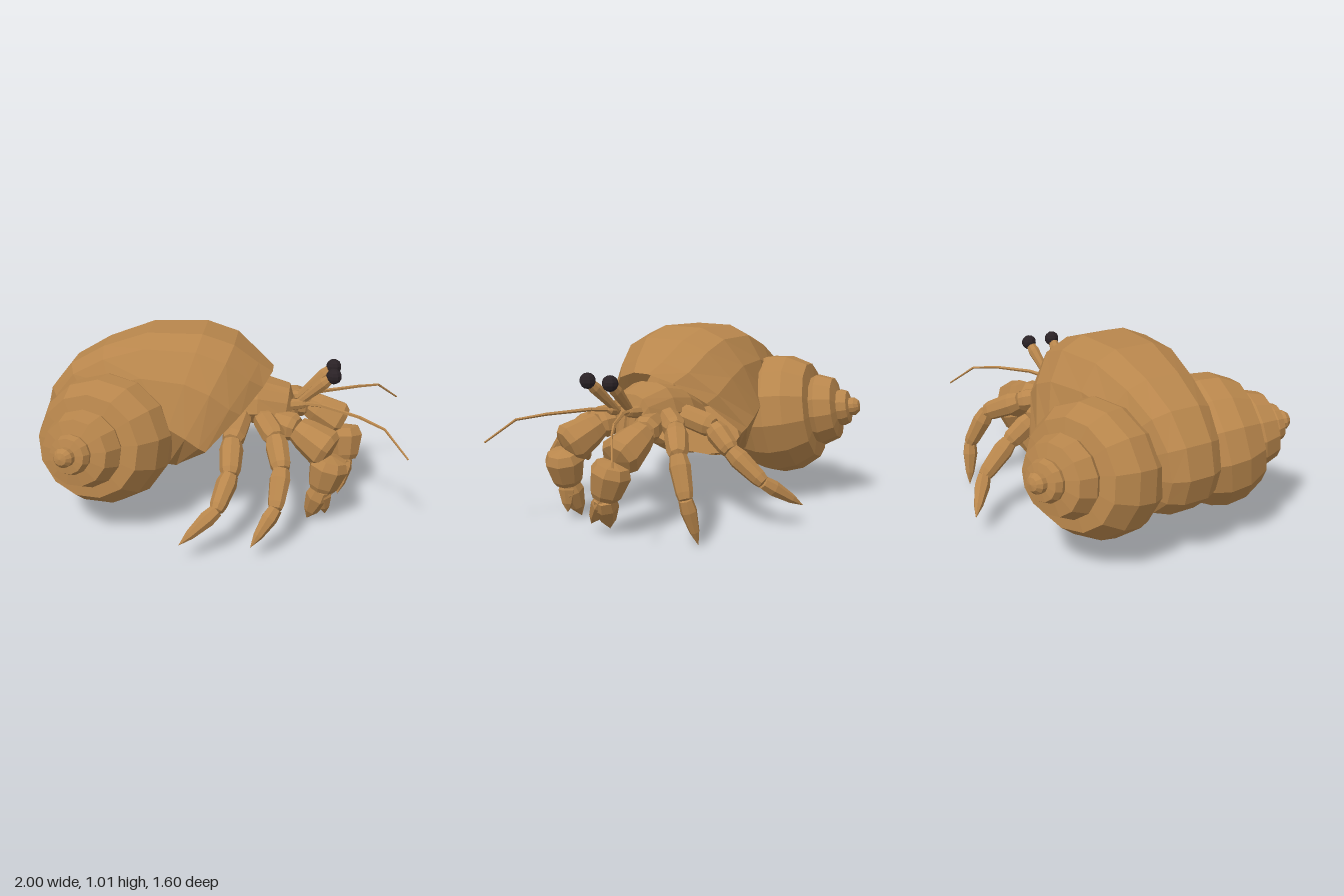
import * as THREE from 'three';

const tan = new THREE.MeshStandardMaterial({ color: 0xb8864c, flatShading: true, side: THREE.DoubleSide });
tan.name = 'warm tan';
const dark = new THREE.MeshStandardMaterial({ color: 0x2a2226, flatShading: true });
dark.name = 'eye black';

const V = (p) => new THREE.Vector3(...p);

function mesh(name, geometry, material = tan) {
  const m = new THREE.Mesh(geometry, material);
  m.name = name;
  return m;
}

// Half outline of a cross-section: [share of the way from outer to inner point, share of half width]
const ARCH = [[0, 0.3], [0.08, 0.62], [0.28, 0.85], [0.6, 1], [0.9, 0.72], [1, 0.3]];

// Closed cross-sections, each [outerX, outerY, innerX, innerY, halfWidth, sharpness]
function loft(sections, side) {
  const n = ARCH.length * 2;
  const pos = [];
  const index = [];
  for (const [ox, oy, ix, iy, w, sharp = 1] of sections) {
    for (let j = 0; j < n; j++) {
      const back = j >= ARCH.length;
      const [t, f] = ARCH[back ? n - 1 - j : j];
      pos.push(ox + (ix - ox) * t, oy + (iy - oy) * t, (back ? -side : side) * w * f ** sharp);
    }
  }
  for (let i = 0; i < sections.length - 1; i++) {
    for (let j = 0; j < n; j++) {
      const a = i * n + j, b = i * n + (j + 1) % n;
      index.push(a, b, b + n, a, b + n, a + n);
    }
  }
  const g = new THREE.BufferGeometry();
  g.setAttribute('position', new THREE.Float32BufferAttribute(pos, 3));
  g.setIndex(index);
  const flat = g.toNonIndexed();
  flat.computeVertexNormals();
  return flat;
}

// Lathe placed at a point with its axis along a direction
function turned(name, profile, origin, axis, sides) {
  const g = new THREE.LatheGeometry(profile.map(([r, h]) => new THREE.Vector2(r, h)), sides);
  const m = mesh(name, g);
  m.position.copy(origin);
  m.quaternion.setFromUnitVectors(new THREE.Vector3(0, 1, 0), axis.clone().normalize());
  return m;
}

// One armoured limb joint from a to b
function joint(name, a, b, r0, r1) {
  const start = V(a), axis = V(b).sub(start), L = axis.length();
  return turned(name, [[0, -0.015], [r0 * 0.8, 0], [r0, L * 0.25], [r1, L * 0.85], [r1 * 0.8, L], [0, L + 0.015]],
    start, axis, 8);
}

// Pointed end from a to b
function spike(name, a, b, r) {
  const start = V(a), axis = V(b).sub(start), L = axis.length();
  return turned(name, [[0, -0.01], [r * 0.85, 0], [r, L * 0.25], [r * 0.6, L * 0.7], [0, L]], start, axis, 7);
}

function leg(name, points) {
  const g = new THREE.Group();
  g.name = name;
  const radii = [0.062, 0.064, 0.056, 0.045];
  for (let i = 0; i < 3; i++) g.add(joint('legJoint', points[i], points[i + 1], radii[i], radii[i + 1]));
  g.add(spike('legTip', points[3], points[4], 0.043));
  return g;
}

function claw(name, [hip, elbow, wrist, palmTop, palmEnd, tipA, tipB]) {
  const g = new THREE.Group();
  g.name = name;
  g.add(joint('upperArm', hip, elbow, 0.06, 0.08));
  g.add(joint('forearm', elbow, wrist, 0.09, 0.115));
  g.add(joint('palm', palmTop, palmEnd, 0.11, 0.085));
  // Fingers start inside the palm, spread toward their tips
  g.add(spike('fixedFinger', palmEnd, tipA, 0.068));
  g.add(spike('movingFinger', palmEnd, tipB, 0.055));
  return g;
}

export function createModel() {
  const model = new THREE.Group();
  model.name = 'hermitCrab';

  // Central shell band, from the open lip over the top, down the back and underneath
  const shell = new THREE.Group();
  shell.name = 'shell';
  shell.add(mesh('shellBand', loft([
    [0.275, 0.79, -0.27, 0.25, 0.44, 1.8],
    [0.2, 0.85, -0.28, 0.25, 0.45, 1.35],
    [0.07, 0.96, -0.31, 0.26, 0.45, 1.05],
    [-0.1, 1.015, -0.35, 0.3, 0.43],
    [-0.4, 1.01, -0.42, 0.34, 0.38],
    [-0.65, 0.92, -0.45, 0.38, 0.32],
    [-0.84, 0.81, -0.47, 0.4, 0.28],
    [-0.96, 0.66, -0.47, 0.42, 0.25],
    [-1, 0.5, -0.47, 0.44, 0.24],
    [-0.96, 0.36, -0.47, 0.46, 0.24],
    [-0.85, 0.26, -0.46, 0.48, 0.25],
    [-0.68, 0.22, -0.45, 0.5, 0.26],
    [-0.48, 0.215, -0.42, 0.5, 0.28],
    [-0.27, 0.25, -0.36, 0.5, 0.28],
    [-0.32, 0.4, -0.32, 0.4, 0],
  ], -1)));

  // Mirrored side spires, slightly lower than wide
  const whorls = [[0, -0.16], [0.31, -0.15], [0.36, -0.06], [0.38, 0.02], [0.365, 0.13], [0.3, 0.24], [0.21, 0.25],
    [0.225, 0.28], [0.19, 0.37], [0.11, 0.385], [0.115, 0.405], [0.1, 0.44], [0.055, 0.447], [0.055, 0.475],
    [0.035, 0.498], [0, 0.505]];
  for (const s of [1, -1]) {
    const spire = turned(s > 0 ? 'leftSpire' : 'rightSpire', whorls,
      new THREE.Vector3(-0.585, 0.48, 0.32 * s), new THREE.Vector3(-0.3, 0.16, 0.95 * s), 13);
    spire.scale.z = 0.92;
    shell.add(spire);
  }
  model.add(shell);

  // Body with head
  model.add(mesh('body', loft([
    [-0.2, 0.54, -0.2, 0.54, 0],
    [-0.15, 0.6, -0.15, 0.48, 0.13],
    [0.04, 0.7, 0.04, 0.5, 0.19],
    [0.2, 0.735, 0.2, 0.49, 0.19],
    [0.37, 0.69, 0.34, 0.48, 0.145],
    [0.39, 0.62, 0.36, 0.5, 0.12],
    [0.38, 0.56, 0.38, 0.56, 0],
  ], 1)));

  for (const s of [1, -1]) {
    const at = (x, y, z) => [x, y, z * s];
    model.add(joint('mouthPart', at(0.36, 0.62, 0.035), at(0.4, 0.43, 0.035), 0.04, 0.034));
    model.add(joint('feelerBase', at(0.33, 0.6, 0.07), at(0.46, 0.61, 0.06), 0.035, 0.028));

    // Eye stalk and eye
    model.add(joint('eyeStalk', at(0.41, 0.6, 0.05), at(0.585, 0.765, 0.077), 0.024, 0.034));
    const eye = mesh('eye', new THREE.SphereGeometry(0.043, 9, 7), dark);
    eye.position.set(0.608, 0.783, 0.078 * s);
    model.add(eye);

    // Antenna in tapering lengths
    const path = [[0.42, 0.61, 0.05], [0.55, 0.622, 0.11], [0.75, 0.612, 0.23], [0.88, 0.59, 0.33], [1, 0.475, 0.44]];
    for (let i = 0; i < 4; i++) {
      const a = V(at(...path[i])), axis = V(at(...path[i + 1])).sub(a);
      model.add(turned('antenna', [[0.013 - i * 0.002, 0], [0.011 - i * 0.002, axis.length()]], a, axis, 5));
    }
  }

  // Walking legs, each side in its own pose
  model.add(leg('leftRearLeg',
    [[0.12, 0.57, 0.13], [0.08, 0.5, 0.36], [0.085, 0.38, 0.52], [0.03, 0.25, 0.67], [-0.15, 0.11, 0.8]]));
  model.add(leg('leftFrontLeg',
    [[0.22, 0.56, 0.13], [0.31, 0.51, 0.32], [0.35, 0.4, 0.47], [0.33, 0.25, 0.62], [0.21, 0.08, 0.735]]));
  model.add(leg('rightRearLeg',
    [[0.12, 0.57, -0.13], [0.09, 0.51, -0.35], [0.11, 0.4, -0.48], [0.07, 0.25, -0.66], [-0.11, 0.11, -0.8]]));
  model.add(leg('rightFrontLeg',
    [[0.22, 0.57, -0.13], [0.34, 0.53, -0.29], [0.5, 0.44, -0.43], [0.555, 0.24, -0.52], [0.5, 0, -0.56]]));

  // Claws
  model.add(claw('leftClaw', [[0.25, 0.54, 0.1], [0.42, 0.51, 0.18], [0.6, 0.41, 0.25], [0.61, 0.38, 0.265],
    [0.565, 0.2, 0.275], [0.49, 0, 0.25], [0.59, 0.04, 0.26]]));
  model.add(claw('rightClaw', [[0.25, 0.55, -0.1], [0.47, 0.52, -0.18], [0.67, 0.41, -0.17], [0.685, 0.39, -0.16],
    [0.695, 0.21, -0.11], [0.59, 0.01, -0.05], [0.66, 0.04, 0.02]]));

  return model;
}
